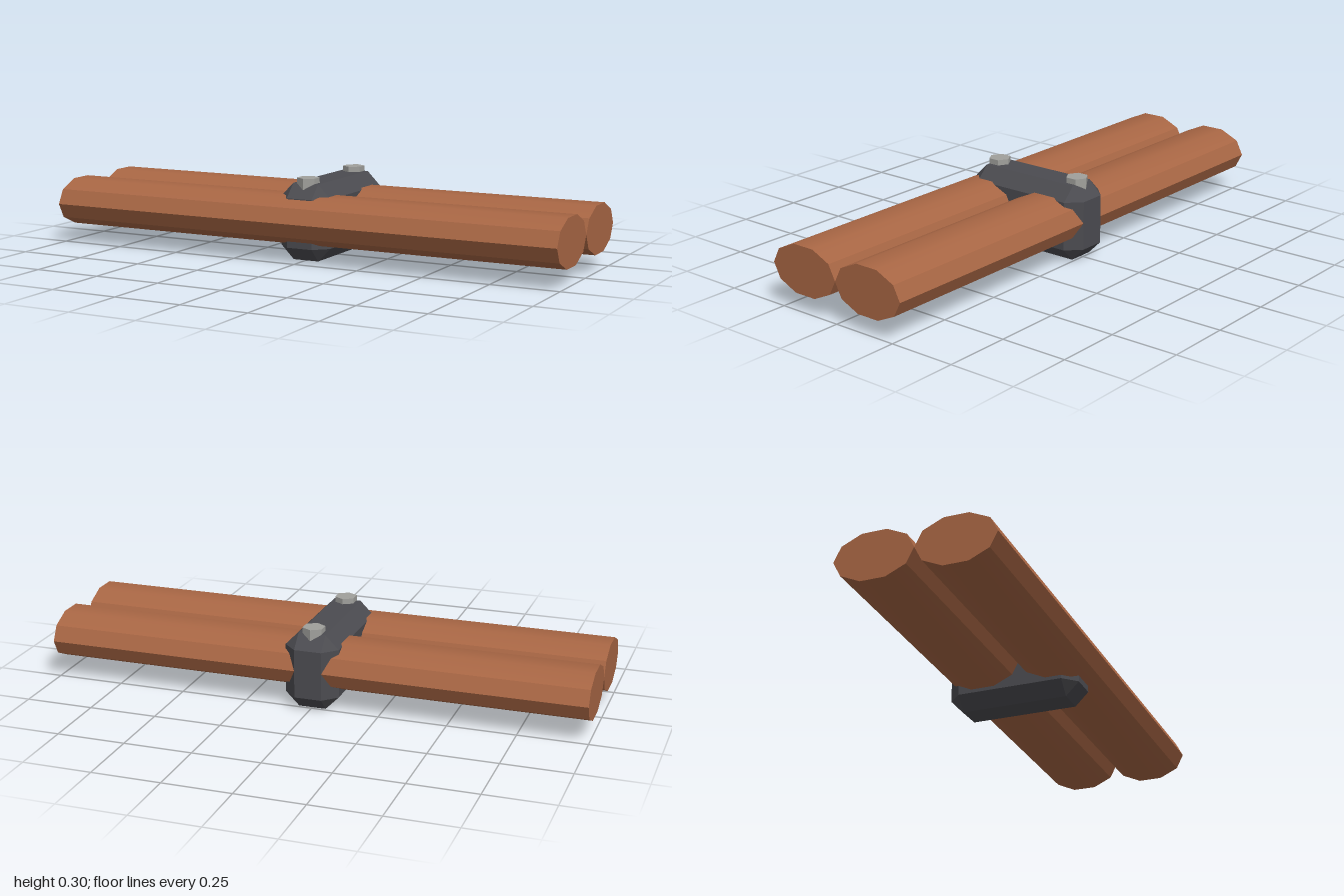
import * as THREE from 'three';
import { toCreasedNormals } from 'three/addons/utils/BufferGeometryUtils.js';
import { ConvexGeometry } from 'three/addons/geometries/ConvexGeometry.js';

const wood = new THREE.MeshStandardMaterial({ name: 'reddish wood', color: 0xa86644 });
const iron = new THREE.MeshStandardMaterial({ name: 'dark iron', color: 0x4b4b50 });
const steel = new THREE.MeshStandardMaterial({ name: 'pale steel', color: 0xa0a09c });

// Box with every edge cut at 45 degrees and triangular corners
function chamferedBox(hx, hy, hz, b) {
  const points = [];
  for (const sx of [-1, 1]) for (const sy of [-1, 1]) for (const sz of [-1, 1]) {
    points.push(
      new THREE.Vector3(sx * hx, sy * (hy - b), sz * (hz - b)),
      new THREE.Vector3(sx * (hx - b), sy * hy, sz * (hz - b)),
      new THREE.Vector3(sx * (hx - b), sy * (hy - b), sz * hz));
  }
  return new ConvexGeometry(points);
}

export function createModel() {
  const group = new THREE.Group();
  group.name = 'clampedLogs';

  const add = (name, geometry, material, x, y, z) => {
    const mesh = new THREE.Mesh(geometry, material);
    mesh.name = name;
    mesh.position.set(x, y, z);
    group.add(mesh);
  };

  // Two flattened ten-sided logs lying side by side along x
  const logShape = new THREE.CylinderGeometry(1, 1, 2, 10);
  logShape.rotateZ(Math.PI / 2);
  logShape.scale(1, 0.0915, 0.1443);
  const log = toCreasedNormals(logShape, Math.PI / 6);
  add('frontLog', log, wood, 0, 0.15, 0.1443);
  add('backLog', log, wood, 0, 0.15, -0.1443);

  // Chamfered clamp around the middle, set slightly to the back
  add('clamp', chamferedBox(0.1, 0.14, 0.25, 0.05), iron, 0, 0.14, -0.039);

  // Hexagonal bolt heads on top of the clamp
  const bolt = new THREE.CylinderGeometry(0.041, 0.041, 0.06, 6).toNonIndexed();
  bolt.computeVertexNormals();
  add('frontBolt', bolt, steel, 0, 0.27, 0.141);
  add('backBolt', bolt, steel, 0, 0.27, -0.219);

  return group;
}
